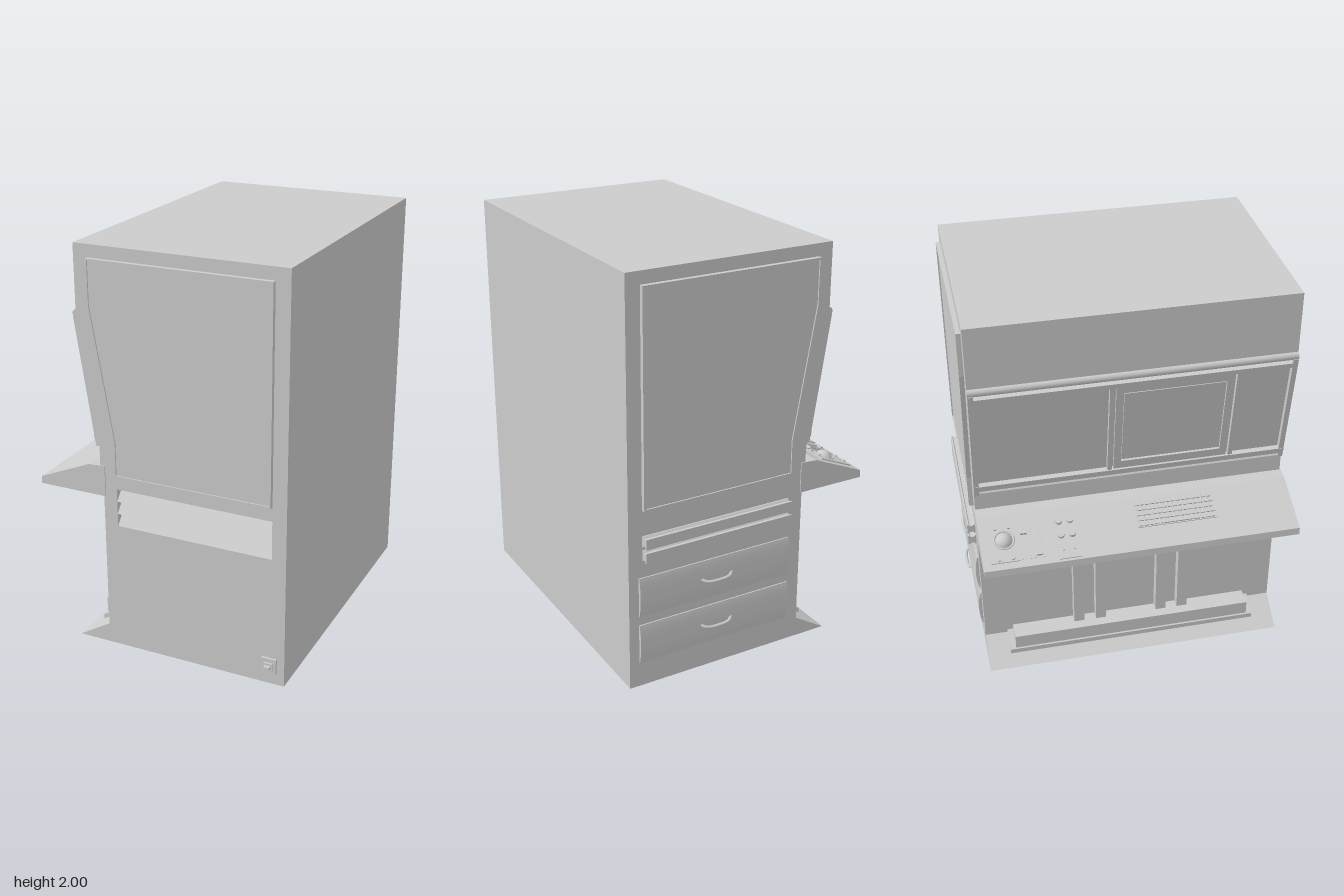
import * as THREE from 'three';

const grey = new THREE.MeshStandardMaterial({ color: 0xcccccc, flatShading: true });
const smooth = new THREE.MeshStandardMaterial({ color: 0xcccccc });

function add(parent, name, geometry, x = 0, y = 0, z = 0, material = grey) {
  const mesh = new THREE.Mesh(geometry, material);
  mesh.name = name;
  mesh.position.set(x, y, z);
  parent.add(mesh);
  return mesh;
}
const box = (parent, name, w, h, d, x, y, z) => add(parent, name, new THREE.BoxGeometry(w, h, d), x, y, z);
const shapeOf = (points) => new THREE.Shape(points.map(([x, y]) => new THREE.Vector2(x, y)));

// An x/y outline swept from z0 to z1
function slab(parent, name, shape, z0, z1) {
  const geometry = new THREE.ExtrudeGeometry(shape, { depth: z1 - z0, bevelEnabled: false });
  return add(parent, name, geometry, 0, 0, z0);
}
function group(parent, name, x, y, z) {
  const g = new THREE.Group();
  g.name = name;
  g.position.set(x, y, z);
  parent.add(g);
  return g;
}

const HALF = 0.765;
const bodyOutline = [[0.635, 0], [0.635, 2], [-0.405, 2], [-0.405, 1.69], [-0.395, 1.66], [-0.303, 1.05],
  [-0.31, 1.04], [-0.31, 0.9], [-0.295, 0.9], [-0.295, 0.1], [-0.46, 0]];

function buildBody(root) {
  slab(root, 'cabinetBody', shapeOf(bodyOutline), -HALF, HALF - 0.05);
  // Side wall with an opening for the vent
  const wall = shapeOf(bodyOutline);
  wall.holes.push(new THREE.Path([[-0.225, 0.65], [-0.225, 0.84], [0.565, 0.84], [0.565, 0.65]]
    .map(([x, y]) => new THREE.Vector2(x, y))));
  slab(root, 'ventWall', wall, HALF - 0.05, HALF);
  // Slats that fall outwards
  for (let i = 0; i < 3; i++) {
    const y = 0.65 + i * 0.0635;
    const slat = new THREE.ExtrudeGeometry(shapeOf([[0, 0], [0.05, 0], [0, 0.06]]), { depth: 0.79, bevelEnabled: false });
    slat.rotateY(-Math.PI / 2);
    add(root, 'ventSlat', slat, 0.565, y, HALF - 0.05);
  }
  // Raised panels with chamfered rims on both sides
  const panel = shapeOf([[-0.325, 1.93], [-0.325, 1.725], [-0.215, 1.085], [-0.215, 0.92], [0.555, 0.92], [0.555, 1.93]]);
  for (const side of [-1, 1]) {
    const geometry = new THREE.ExtrudeGeometry(panel,
      { depth: 0.015, bevelEnabled: true, bevelThickness: 0.008, bevelSize: 0.01, bevelSegments: 1 });
    add(root, 'sidePanel', geometry, 0, 0, side * HALF - 0.0075);
    const rim = shapeOf([[-0.335, 1.94], [-0.335, 1.72], [-0.225, 1.08], [-0.225, 0.91], [0.565, 0.91], [0.565, 1.94]]);
    rim.holes.push(new THREE.Path(panel.getPoints()));
    slab(root, 'sidePanelRim', rim, side * 0.776 - 0.011, side * 0.776 + 0.011);
  }
}

function buildScreenWall(root) {
  const g = group(root, 'screenWall', -0.354, 1.355, 0);
  g.rotation.z = 0.15;
  const length = 0.625;
  for (const s of [-1, 1]) box(g, 'sideRail', 0.03, length, 0.025, -0.005, 0, s * 0.7525);
  box(g, 'bottomRail', 0.034, 0.03, 1.53, -0.005, -0.27, 0);
  box(g, 'topRail', 0.03, 0.025, 1.53, -0.005, 0.28, 0);
  // Screen bay with bezel and display
  for (const z of [-0.11, 0.49]) box(g, 'screenPost', 0.026, 0.55, 0.022, -0.004, 0.005, z);
  const bezel = shapeOf([[-0.28, -0.26], [0.28, -0.26], [0.28, 0.26], [-0.28, 0.26]]);
  bezel.holes.push(new THREE.Path([[-0.245, -0.215], [-0.245, 0.22], [0.245, 0.22], [0.245, -0.215]]
    .map(([x, y]) => new THREE.Vector2(x, y))));
  const bezelGeometry = new THREE.ExtrudeGeometry(bezel, { depth: 0.012, bevelEnabled: false });
  bezelGeometry.rotateY(-Math.PI / 2);
  add(g, 'screenBezel', bezelGeometry, 0, 0.005, 0.19);
  box(g, 'screen', 0.008, 0.42, 0.48, -0.001, 0.005, 0.19);
  // Round trim along the top of the slope
  const trim = new THREE.CylinderGeometry(0.02, 0.02, 1.53, 16).rotateX(Math.PI / 2);
  add(root, 'topTrim', trim, -0.402, 1.675, 0, smooth);
}

function buildDesk(root) {
  const outline = [[-0.285, 0.795], [-0.285, 0.95], [-0.37, 0.945], [-0.637, 0.832], [-0.64, 0.795]];
  slab(root, 'desk', shapeOf(outline), -0.77, 0.77);
  const g = group(root, 'deskControls', -0.505, 0.889, 0);
  g.rotation.z = 0.4;

  // Keyboard
  box(g, 'keyboardBase', 0.142, 0.006, 0.395, 0.046, 0.001, 0.1875);
  for (let row = 0; row < 5; row++) {
    const u = -0.01 + row * 0.028;
    if (row === 0) box(g, 'spaceBar', 0.02, 0.01, 0.17, u, 0.007, 0.19);
    for (let col = 0; col < 15; col++) {
      if (row === 0 && col > 3 && col < 11) continue;
      const z = 0.006 + col * 0.0255 + (row % 2) * 0.006;
      box(g, 'key', 0.021, 0.01, 0.02, u, 0.007, z);
    }
  }

  // Trackball plate with small buttons
  box(g, 'trackballPlate', 0.19, 0.008, 0.135, -0.015, 0.001, -0.663);
  add(g, 'trackballRing', new THREE.TorusGeometry(0.047, 0.005, 8, 28).rotateX(Math.PI / 2), 0.006, 0.005, -0.655, smooth);
  add(g, 'trackball', new THREE.SphereGeometry(0.044, 24, 16), 0.006, -0.012, -0.655, smooth);
  for (const z of [-0.69, -0.625]) {
    for (const u of [-0.095, 0.07]) {
      add(g, 'plateButton', new THREE.CylinderGeometry(0.008, 0.009, 0.012, 12), u, 0.007, z, smooth);
    }
  }

  // Slider slots
  [-0.56, -0.5].forEach((z, i) => {
    for (const s of [-1, 1]) box(g, 'sliderRail', 0.185, 0.008, 0.006, -0.015, 0.002, z + s * 0.02);
    box(g, 'sliderGrip', 0.012, 0.016, 0.03, i ? -0.09 : 0.03, 0.005, z);
  });

  // Knob plate
  box(g, 'knobPlate', 0.235, 0.008, 0.105, -0.015, 0.001, -0.358);
  for (const z of [-0.385, -0.33]) {
    for (const u of [-0.01, 0.065]) {
      add(g, 'knob', new THREE.CylinderGeometry(0.015, 0.018, 0.018, 16), u, 0.01, z, smooth);
    }
    box(g, 'toggle', 0.03, 0.01, 0.01, -0.075, 0.006, z);
  }
}

function buildKneeSpace(root) {
  // Paired columns that flare out to carry the desk
  const column = [[-0.29, 0.1], [-0.29, 0.8], [-0.465, 0.8], [-0.465, 0.78], [-0.34, 0.635], [-0.34, 0.1]];
  for (const z of [-0.275, -0.16, 0.16, 0.275]) slab(root, 'column', shapeOf(column), z - 0.027, z + 0.027);
  // Footrest on a wedge-shaped plinth
  box(root, 'footrest', 0.1, 0.075, 1.24, -0.34, 0.108, 0);
  slab(root, 'footrestPlinth', shapeOf([[-0.29, 0.02], [-0.29, 0.12], [-0.395, 0.065], [-0.395, 0.035]]), -0.65, 0.65);
}

function buildDrawerSide(root) {
  // Two long pull bars with a waisted section
  const section = shapeOf([[0, -0.027], [0.008, -0.027], [0.016, -0.018], [0.03, -0.018], [0.034, -0.026], [0.042, -0.026],
    [0.042, 0.026], [0.034, 0.026], [0.03, 0.018], [0.016, 0.018], [0.008, 0.027], [0, 0.027]]);
  for (const y of [0.755, 0.685]) {
    const bar = new THREE.ExtrudeGeometry(section, { depth: 0.78, bevelEnabled: false }).rotateY(Math.PI / 2);
    add(root, 'pullBar', bar, -0.215, y, -0.763);
  }
  // Drawers with gently bowed fronts and arched handles
  for (const y of [0.4725, 0.2275]) {
    const front = new THREE.Shape();
    front.moveTo(0, -0.1);
    front.lineTo(0.008, -0.1);
    front.quadraticCurveTo(0.032, 0, 0.008, 0.1);
    front.lineTo(0, 0.1);
    const geometry = new THREE.ExtrudeGeometry(front, { depth: 0.81, bevelEnabled: false, curveSegments: 12 });
    add(root, 'drawerFront', geometry.rotateY(Math.PI / 2), -0.225, y, -0.763);
    const path = new THREE.CatmullRomCurve3([[-0.085, 0.012, -0.775], [-0.06, 0, -0.795], [0, -0.004, -0.8],
      [0.06, 0, -0.795], [0.085, 0.012, -0.775]].map((p) => new THREE.Vector3(...p)));
    add(root, 'drawerHandle', new THREE.TubeGeometry(path, 20, 0.008, 8), 0.18, y, 0, smooth);
  }
}

function buildPowerSwitch(root) {
  const g = group(root, 'powerSwitch', 0.56, 0.1, HALF);
  box(g, 'switchPlate', 0.075, 0.075, 0.016, 0, 0, 0.004);
  box(g, 'switchHousing', 0.045, 0.035, 0.012, 0, 0, 0.016);
  box(g, 'switchLever', 0.03, 0.014, 0.022, 0, 0, 0.029);
}

export function createModel() {
  const root = new THREE.Group();
  root.name = 'controlCabinet';
  buildBody(root);
  buildScreenWall(root);
  buildDesk(root);
  buildKneeSpace(root);
  buildDrawerSide(root);
  buildPowerSwitch(root);
  return root;
}
